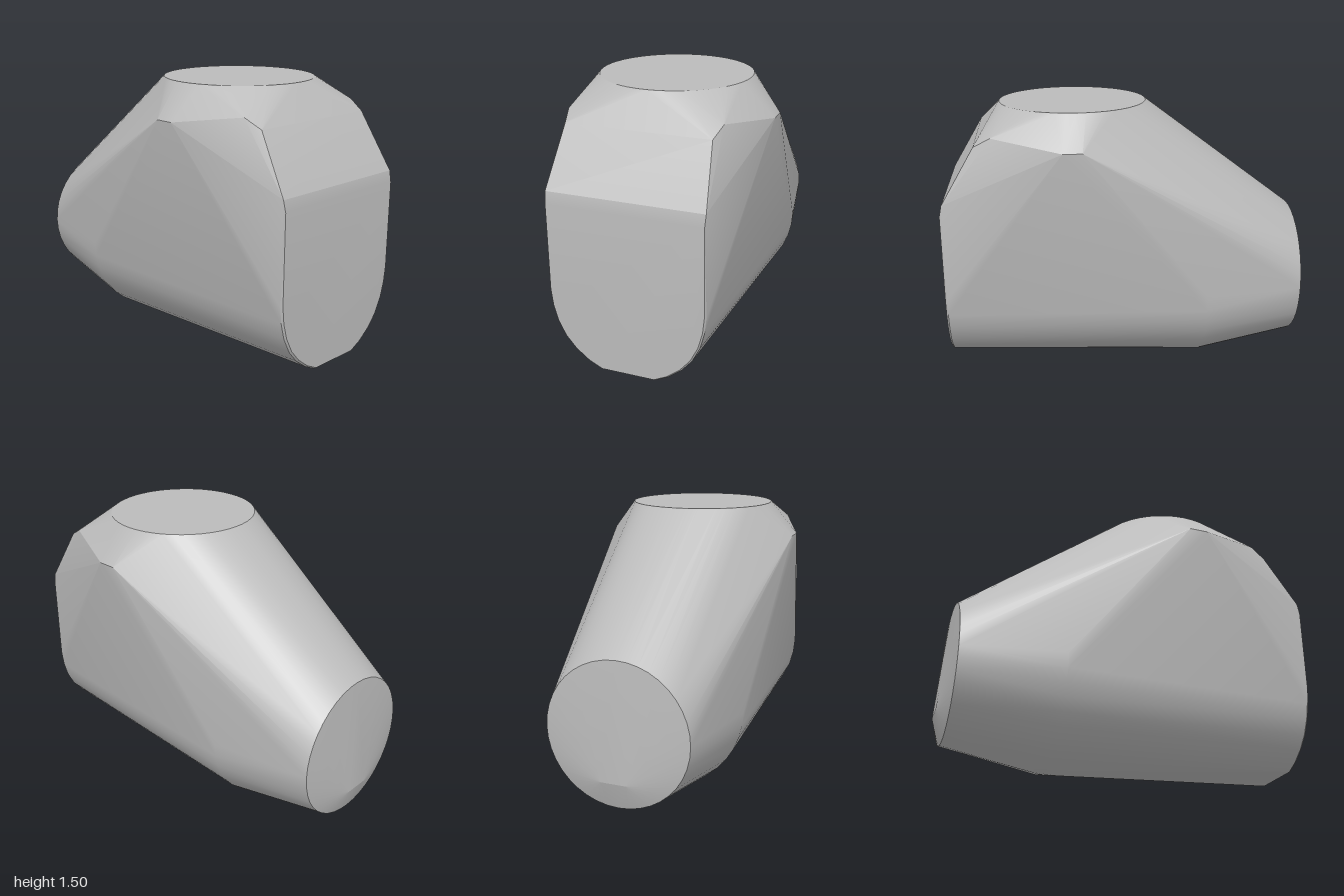
import * as THREE from 'three';
import { ConvexGeometry } from 'three/addons/geometries/ConvexGeometry.js';
import { toCreasedNormals } from 'three/addons/utils/BufferGeometryUtils.js';

const grey = new THREE.MeshStandardMaterial({ color: 0xbbbbbb });
grey.name = 'plain grey';

export function createModel() {
  const points = [];
  const add = (x, y, z) => points.push(new THREE.Vector3(x, y, z));
  const pair = (x, y, z) => { add(x, y, z); add(x, y, -z); };

  // Round flat top
  for (let i = 0; i < 48; i++) {
    const a = (i / 48) * Math.PI * 2;
    add(0.285 + 0.4 * Math.cos(a), 1.495, 0.4 * Math.sin(a));
  }

  // Round left end with a slightly raised low centre
  for (let i = 0; i < 40; i++) {
    const a = (i / 40) * Math.PI * 2;
    add(-0.95, 0.485 + 0.386 * Math.cos(a), 0.386 * Math.sin(a));
  }
  pair(-1, 0.25, 0.07);

  // Rounded belly, the lowest part of the body
  for (let i = 0; i <= 20; i++) {
    const a = (i / 20) * Math.PI;
    add(-0.41, 0.48 - 0.48 * Math.sin(a), 0.48 * Math.cos(a));
  }
  pair(-0.46, 0, 0.03);
  pair(-0.3, 0, 0.05);

  // Widest shoulders and the corners sloping to the right
  pair(0.26, 1.32, 0.55);
  pair(0.36, 1.32, 0.55);
  pair(0.72, 1.375, 0.405);
  pair(0.81, 1.325, 0.38);

  // Right end: straight sides, round lower corners, thin bevel
  const end = [[0.15, 0.09], [0.22, 0.125], [0.29, 0.18], [0.345, 0.245],
    [0.385, 0.325], [0.408, 0.41], [0.418, 0.5]];
  for (const [z, y] of end) {
    pair(0.988, y, z);
    pair(0.998, y + 0.006, z - 0.007);
  }
  pair(0.985, 1.03, 0.413);
  pair(0.998, 0.97, 0.41);

  const body = new THREE.Mesh(toCreasedNormals(new ConvexGeometry(points), 0.3), grey);
  body.name = 'body';

  const model = new THREE.Group();
  model.name = 'facetedBlock';
  model.add(body);
  return model;
}
